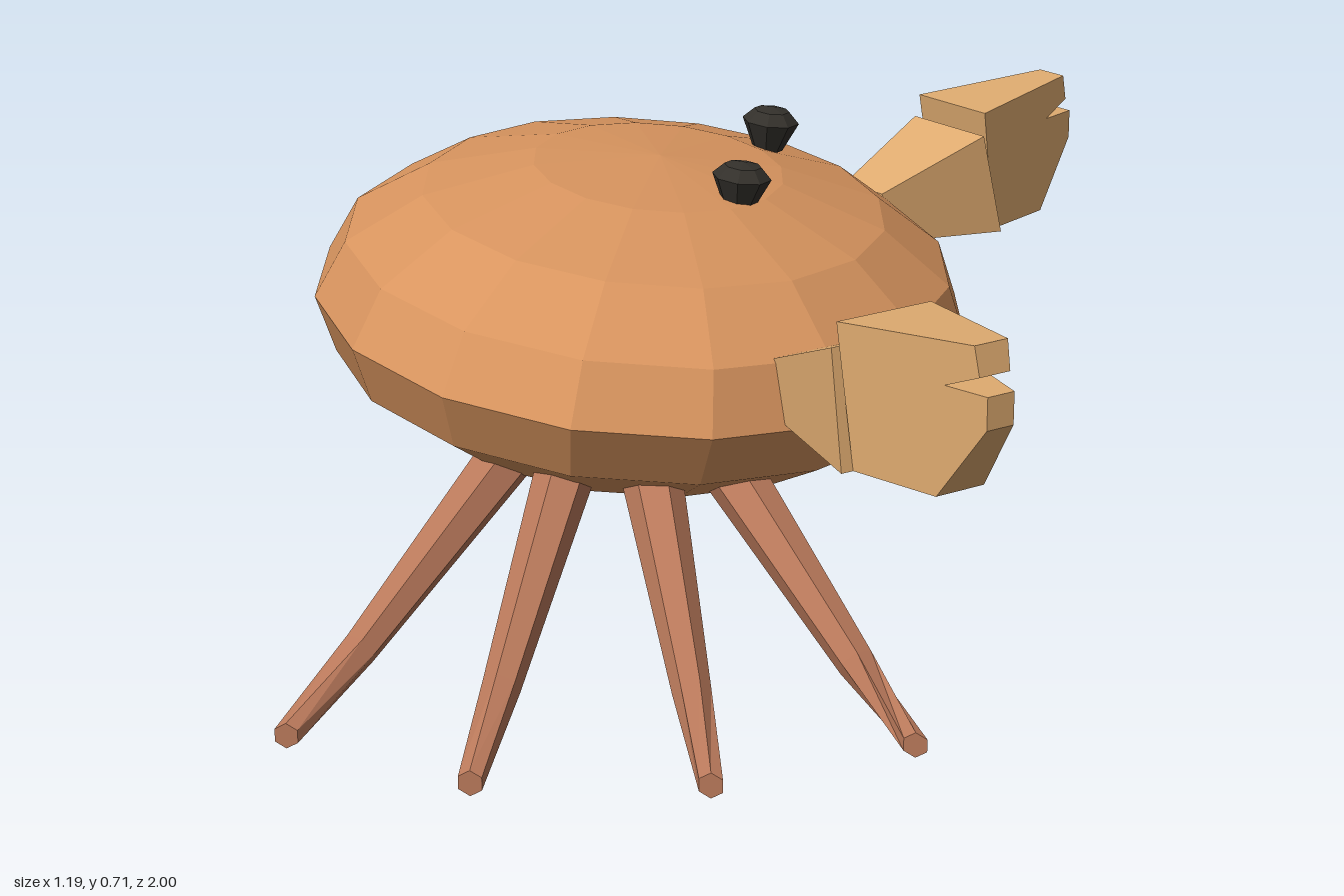
import * as THREE from 'three';

const mat = (color) => new THREE.MeshStandardMaterial({ color, flatShading: true });
const shellMat = mat(0xd9955f), legMat = mat(0xb8785a), clawMat = mat(0xdfab70), eyeMat = mat(0x33302b);

function mesh(name, geometry, material) {
  const m = new THREE.Mesh(geometry, material);
  m.name = name;
  return m;
}

// Side outline (along, y) thickened sideways; half width varies along the length
function taperedSlab(name, outline, halfWidth) {
  const shape = new THREE.Shape(outline.map(([s, y]) => new THREE.Vector2(s, y)));
  const geo = new THREE.ExtrudeGeometry(shape, { depth: 2, bevelEnabled: false });
  const p = geo.attributes.position;
  for (let i = 0; i < p.count; i++) p.setZ(i, (p.getZ(i) - 1) * halfWidth(p.getX(i)));
  geo.computeVertexNormals();
  return mesh(name, geo, clawMat);
}

// Six-sided leg in two sections, with the foot end turned outward
function leg(root, foot, side) {
  const a = new THREE.Vector3(root[0], root[1], root[2] * side);
  const b = new THREE.Vector3(foot[0], foot[1], foot[2] * side);
  const dir = b.clone().sub(a).normalize();
  a.addScaledVector(dir, -0.06);
  const up = new THREE.Vector3(0, 1, 0);
  const along = new THREE.Quaternion().setFromUnitVectors(up, dir);
  const outward = new THREE.Quaternion().setFromUnitVectors(up, new THREE.Vector3(0, 0, side));
  const rows = [
    { t: 0, r: 0.048, sag: 0, q: along },
    { t: 0.7, r: 0.029, sag: 0.01, q: along },
    { t: 1, r: 0.02, sag: 0, q: outward },
  ];
  const geo = new THREE.CylinderGeometry(1, 1, 2, 6, 2);
  const p = geo.attributes.position, v = new THREE.Vector3();
  for (let i = 0; i < p.count; i++) {
    const row = rows[Math.round(p.getY(i)) + 1];
    v.set(p.getX(i) * row.r, 0, p.getZ(i) * row.r).applyQuaternion(row.q);
    v.add(a.clone().lerp(b, row.t));
    p.setXYZ(i, v.x, v.y - row.sag, v.z);
  }
  geo.computeVertexNormals();
  return mesh('leg', geo, legMat);
}

// Claw: flaring wrist and a notched, tapering pincer
function claw(side) {
  const g = new THREE.Group();
  g.name = 'claw';
  g.add(taperedSlab('wrist',
    [[-0.2, 0.42], [0.03, 0.41], [-0.01, 0.59], [-0.21, 0.51]],
    (s) => 0.093 + 0.21 * s));
  g.add(taperedSlab('pincer',
    [[0.03, 0.41], [0.18, 0.41], [0.265, 0.53], [0.265, 0.58],
      [0.19, 0.58], [0.25, 0.605], [0.24, 0.65], [-0.005, 0.63]],
    (s) => 0.085 - 0.23 * s));
  g.position.set(0.41, 0, 0.615 * side);
  g.rotation.y = -0.82 * side;
  return g;
}

export function createModel() {
  const model = new THREE.Group();
  model.name = 'crab';

  // Shell: flattened faceted ball, tipped toward the claws
  const shell = mesh('shell', new THREE.SphereGeometry(1, 16, 8), shellMat);
  shell.scale.set(0.536, 0.241, 0.67);
  shell.position.set(-0.047, 0.4425, 0);
  shell.rotation.z = -0.108;
  model.add(shell);

  // Legs: root and foot for one side, mirrored
  const legs = [
    [[-0.2, 0.3, 0.44], [-0.435, 0.021, 0.885]],
    [[-0.09, 0.3, 0.53], [-0.135, 0.021, 1]],
    [[0.055, 0.29, 0.52], [0.205, 0.021, 0.955]],
    [[0.18, 0.28, 0.445], [0.48, 0.021, 0.775]],
  ];
  for (const side of [1, -1]) {
    for (const [root, foot] of legs) model.add(leg(root, foot, side));
    model.add(claw(side));
  }

  // Eyes: flared stubs with a low cap
  const eyeProfile = [[0, -0.06], [0.025, -0.05], [0.048, 0], [0.03, 0.018], [0, 0.024]]
    .map(([r, y]) => new THREE.Vector2(r, y));
  for (const z of [0.12, -0.235]) {
    const eye = mesh('eye', new THREE.LatheGeometry(eyeProfile, 8), eyeMat);
    eye.position.set(0.13, 0.686, z);
    eye.rotation.z = -0.1;
    model.add(eye);
  }
  return model;
}
